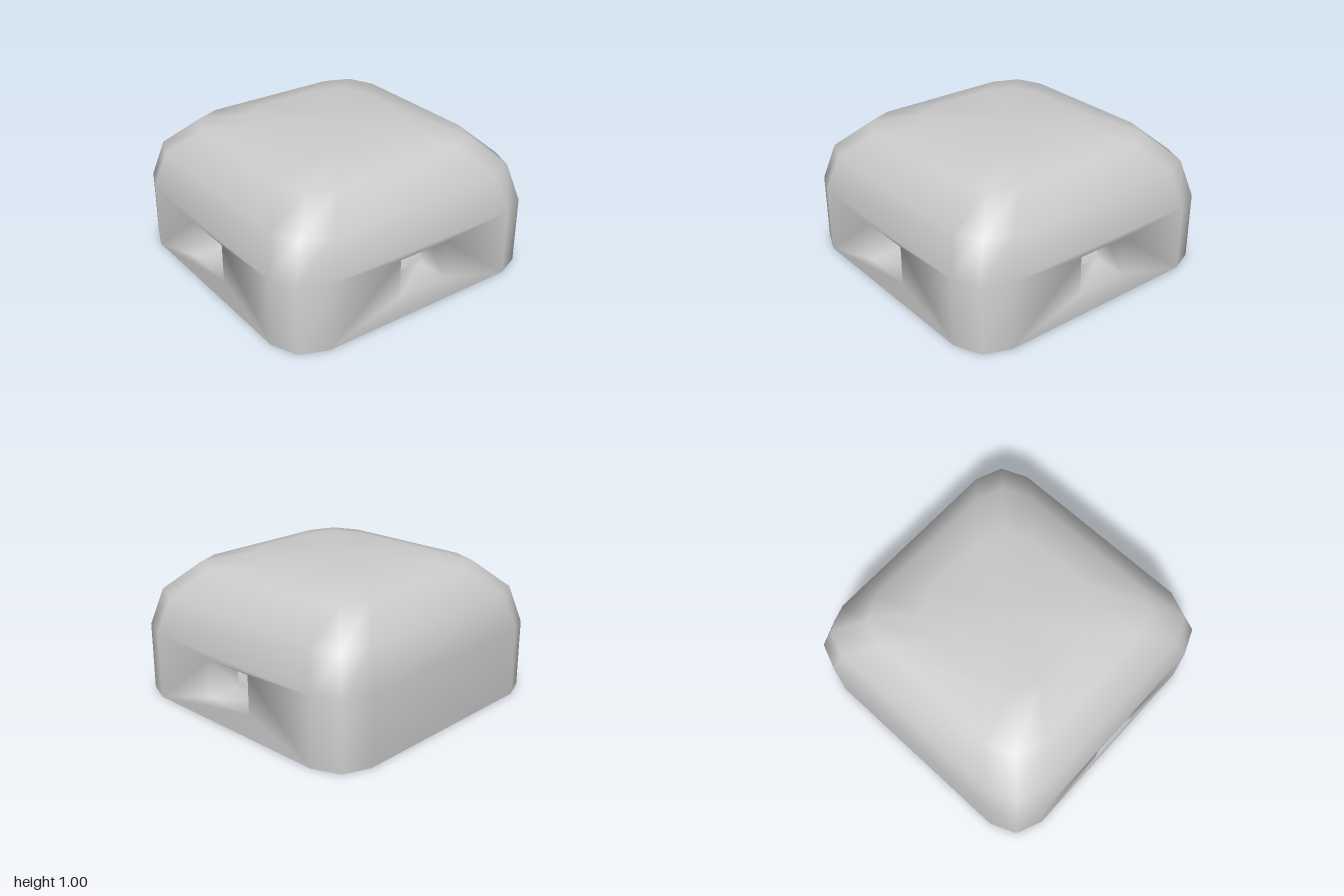
import * as THREE from 'three';
import { mergeGeometries, mergeVertices } from 'three/addons/utils/BufferGeometryUtils.js';

const CORNER = 0.26;                       // plan corner radius
const BEVEL = 0.52;                        // roof edge radius
const WIN = { w: 0.19, y0: 0.17, y1: 0.445 };
const ROOM = 0.76;                         // half width of the inner room
const WINDOW_TURNS = [0, Math.PI, Math.PI / 2]; // front, back and left (+x)

const material = new THREE.MeshStandardMaterial({ color: 0xcccccc, side: THREE.DoubleSide });

function fromTriangles(positions, index) {
  const g = new THREE.BufferGeometry();
  g.setAttribute('position', new THREE.Float32BufferAttribute(positions, 3));
  g.setIndex(index);
  return g;
}

// Merge pieces into one smooth-shaded surface
function smooth(parts) {
  parts.forEach(p => { p.deleteAttribute('uv'); p.deleteAttribute('normal'); });
  const g = mergeVertices(mergeGeometries(parts), 1e-3);
  g.computeVertexNormals();
  return g;
}

// Flat wall facing +z at distance d, optionally with a window hole, turned about y
function wall(half, y0, y1, d, turn, hole) {
  const s = new THREE.Shape([[-half, y0], [half, y0], [half, y1], [-half, y1]].map(p => new THREE.Vector2(...p)));
  if (hole) s.holes.push(new THREE.Path(windowCorners().reverse()));
  return new THREE.ShapeGeometry(s).translate(0, 0, d).rotateY(turn);
}

function windowCorners() {
  return [[-WIN.w, WIN.y0], [WIN.w, WIN.y0], [WIN.w, WIN.y1], [-WIN.w, WIN.y1]].map(p => new THREE.Vector2(...p));
}

// Four-sided window lining from the outer wall to the room
function lining(turn) {
  const pos = [], idx = [];
  windowCorners().forEach((p, i) => {
    pos.push(p.x, p.y, 1, p.x, p.y, ROOM);
    const a = i * 2, b = ((i + 1) % 4) * 2;
    idx.push(a, b, b + 1, a, b + 1, a + 1);
  });
  return fromTriangles(pos, idx).rotateY(turn);
}

// Rounded-square rings rising to the roof; windowed walls are left open
function shellBody() {
  const pos = [], idx = [], n = 12;
  const rings = [[1, 0]];
  for (let k = 0; k <= 3; k++) {
    const a = k * Math.PI / 6;
    rings.push([1 - BEVEL + BEVEL * Math.cos(a), 1 - BEVEL + BEVEL * Math.sin(a)]);
  }
  for (const [h, y] of rings) {
    for (let c = 0; c < 4; c++) {
      const mid = (c + 0.5) * Math.PI / 2;
      const cx = Math.sign(Math.cos(mid)) * (h - CORNER), cz = Math.sign(Math.sin(mid)) * (h - CORNER);
      for (let j = 0; j < 3; j++) {
        const t = c * Math.PI / 2 + j * Math.PI / 4;
        pos.push(cx + CORNER * Math.cos(t), y, cz + CORNER * Math.sin(t));
      }
    }
  }
  for (let r = 0; r < rings.length - 1; r++) {
    for (let i = 0; i < n; i++) {
      if (r === 0 && [2, 8, 11].includes(i)) continue;
      const a = r * n + i, b = r * n + (i + 1) % n;
      idx.push(a, a + n, b, b, a + n, b + n);
    }
  }
  // Flat roof
  const top = (rings.length - 1) * n, centre = pos.length / 3;
  pos.push(0, 1, 0);
  for (let i = 0; i < n; i++) idx.push(centre, top + (i + 1) % n, top + i);
  return fromTriangles(pos, idx);
}

export function createModel() {
  const group = new THREE.Group();
  const add = (name, geometry) => {
    const m = new THREE.Mesh(geometry, material);
    m.name = name;
    group.add(m);
  };

  // Outer shell, open underneath, with lined windows
  const shell = [shellBody()];
  for (const turn of WINDOW_TURNS) {
    shell.push(wall(1 - CORNER, 0, 1 - BEVEL, 1, turn, true), lining(turn));
  }
  add('outerShell', smooth(shell));

  // Inner room: four walls, floor and ceiling
  const floorY = 0.015, ceilingY = 0.76;
  const room = WINDOW_TURNS.map(t => wall(ROOM, floorY, ceilingY, ROOM, t, true));
  room.push(wall(ROOM, floorY, ceilingY, ROOM, -Math.PI / 2, false));
  room.push(new THREE.PlaneGeometry(2 * ROOM, 2 * ROOM).rotateX(Math.PI / 2).translate(0, floorY, 0));
  room.push(new THREE.PlaneGeometry(2 * ROOM, 2 * ROOM).rotateX(-Math.PI / 2).translate(0, ceilingY, 0));
  add('innerRoom', smooth(room));

  return group;
}
